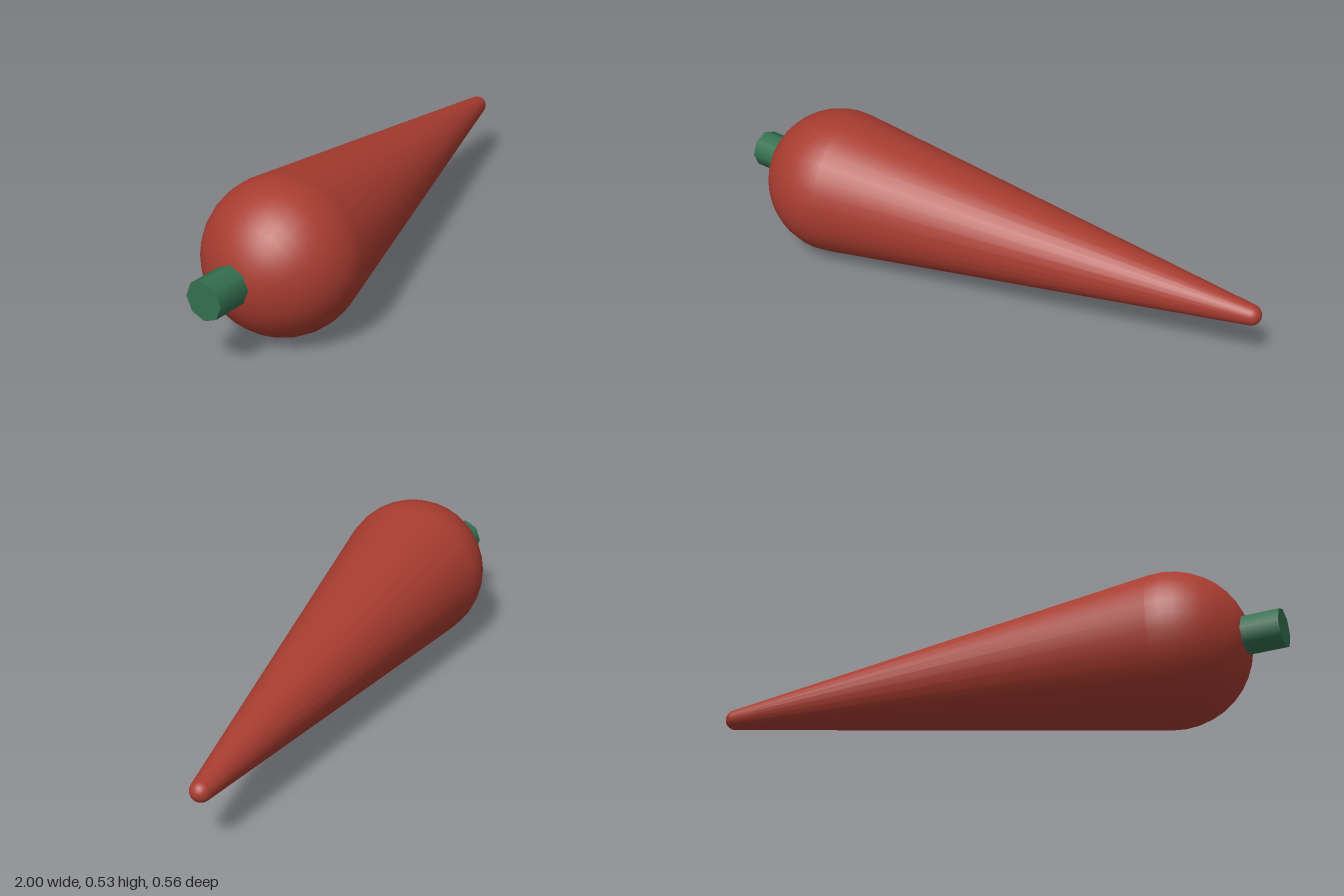
import * as THREE from 'three';

// Profile of two spheres joined by their common tangent cone, along +y
function taperedProfile(R, r, length, steps) {
  const tilt = Math.asin((R - r) / length);
  const turn = Math.PI / 2 + tilt;
  const points = [];
  const arc = (radius, y, from, to, n) => {
    for (let i = 0; i <= n; i++) {
      const t = from + (to - from) * i / n;
      points.push(new THREE.Vector2(Math.max(0, radius * Math.sin(t)), y - radius * Math.cos(t)));
    }
  };
  arc(R, 0, 0, turn, steps);
  arc(r, length, turn, Math.PI, 5);
  return points;
}

export function createModel() {
  const group = new THREE.Group();
  group.name = 'carrot';

  // Root: round shoulder tapering to a small round tip
  const shoulder = new THREE.Vector3(-0.615, 0.267, 0.015);
  const tip = new THREE.Vector3(0.964, 0.217, -0.247);
  const axis = tip.clone().sub(shoulder);
  const root = new THREE.Mesh(
    new THREE.LatheGeometry(taperedProfile(0.266, 0.036, axis.length(), 10), 32),
    new THREE.MeshStandardMaterial({ color: 0xa83c30 })
  );
  root.name = 'root';
  root.position.copy(shoulder);
  root.quaternion.setFromUnitVectors(new THREE.Vector3(0, 1, 0), axis.normalize());
  group.add(root);

  // Stem: short eight-sided stub set into the shoulder
  const stem = new THREE.Mesh(
    new THREE.CylinderGeometry(0.068, 0.068, 0.2, 8),
    new THREE.MeshStandardMaterial({ color: 0x347050 })
  );
  stem.name = 'stem';
  stem.rotation.z = Math.PI / 2;
  stem.position.set(-0.9, 0.267, 0.013);
  group.add(stem);

  return group;
}
